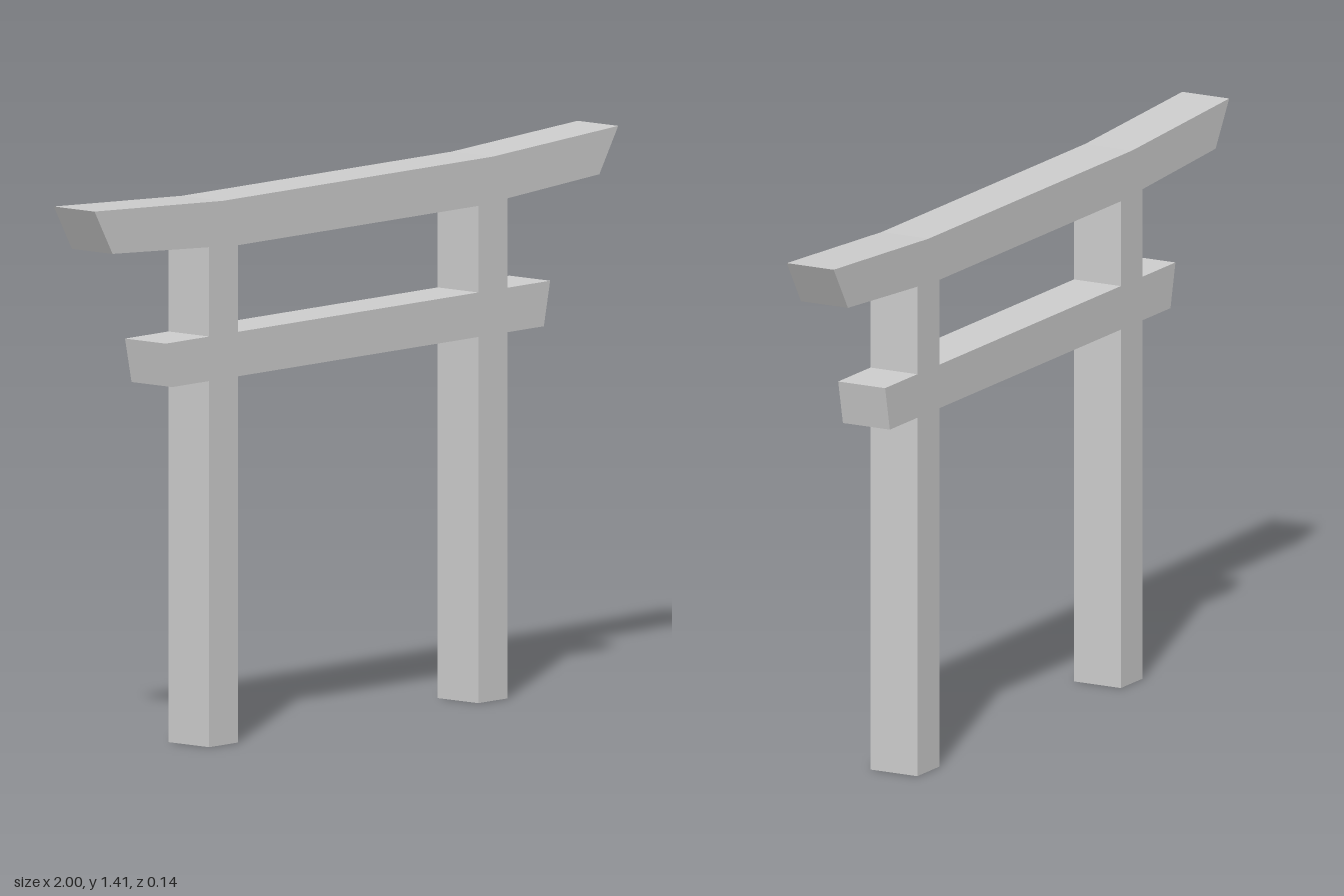
import * as THREE from 'three';

const DEPTH = 0.136;
const material = new THREE.MeshStandardMaterial({ color: 0xcccccc, flatShading: true });

// Flat outline (counter-clockwise) extruded through the full depth of the gate
function slab(name, points) {
  const shape = new THREE.Shape(points.map(([x, y]) => new THREE.Vector2(x, y)));
  const geometry = new THREE.ExtrudeGeometry(shape, { depth: DEPTH, bevelEnabled: false });
  geometry.translate(0, 0, -DEPTH / 2);
  const mesh = new THREE.Mesh(geometry, material);
  mesh.name = name;
  return mesh;
}

export function createModel() {
  const gate = new THREE.Group();
  gate.name = 'gate';

  const tieBottom = 0.93, tieTop = 1.043;
  const lintelOuter = 1.27, lintelInner = 1.263;
  const posts = [
    { side: 'right', outer: -0.562, inner: -0.452 },
    { side: 'left', outer: 0.577, inner: 0.466 },
  ];

  // Posts, split by the tie beam so every face stays flush
  for (const { side, outer, inner } of posts) {
    const post = new THREE.Group();
    post.name = side + 'Post';
    const a = Math.min(outer, inner), b = Math.max(outer, inner);
    const topA = a === outer ? lintelOuter : lintelInner;
    const topB = b === outer ? lintelOuter : lintelInner;
    post.add(
      slab(side + 'LowerPost', [[a, 0], [b, 0], [b, tieBottom], [a, tieBottom]]),
      slab(side + 'UpperPost', [[a, tieTop], [b, tieTop], [b, topB], [a, topA]]),
    );
    gate.add(post);
  }

  // Lower tie beam with slanted ends
  gate.add(slab('tieBeam', [
    [-0.703, tieBottom], [0.716, tieBottom], [0.74, tieTop], [-0.728, tieTop],
  ]));

  // Top lintel with upswept, undercut ends
  gate.add(slab('lintel', [
    [-0.931, 1.293], [-0.562, lintelOuter], [-0.452, lintelInner],
    [0.466, lintelInner], [0.577, lintelOuter], [0.928, 1.293],
    [1, 1.408], [0.52, 1.382], [-0.51, 1.382], [-1, 1.408],
  ]));

  return gate;
}
